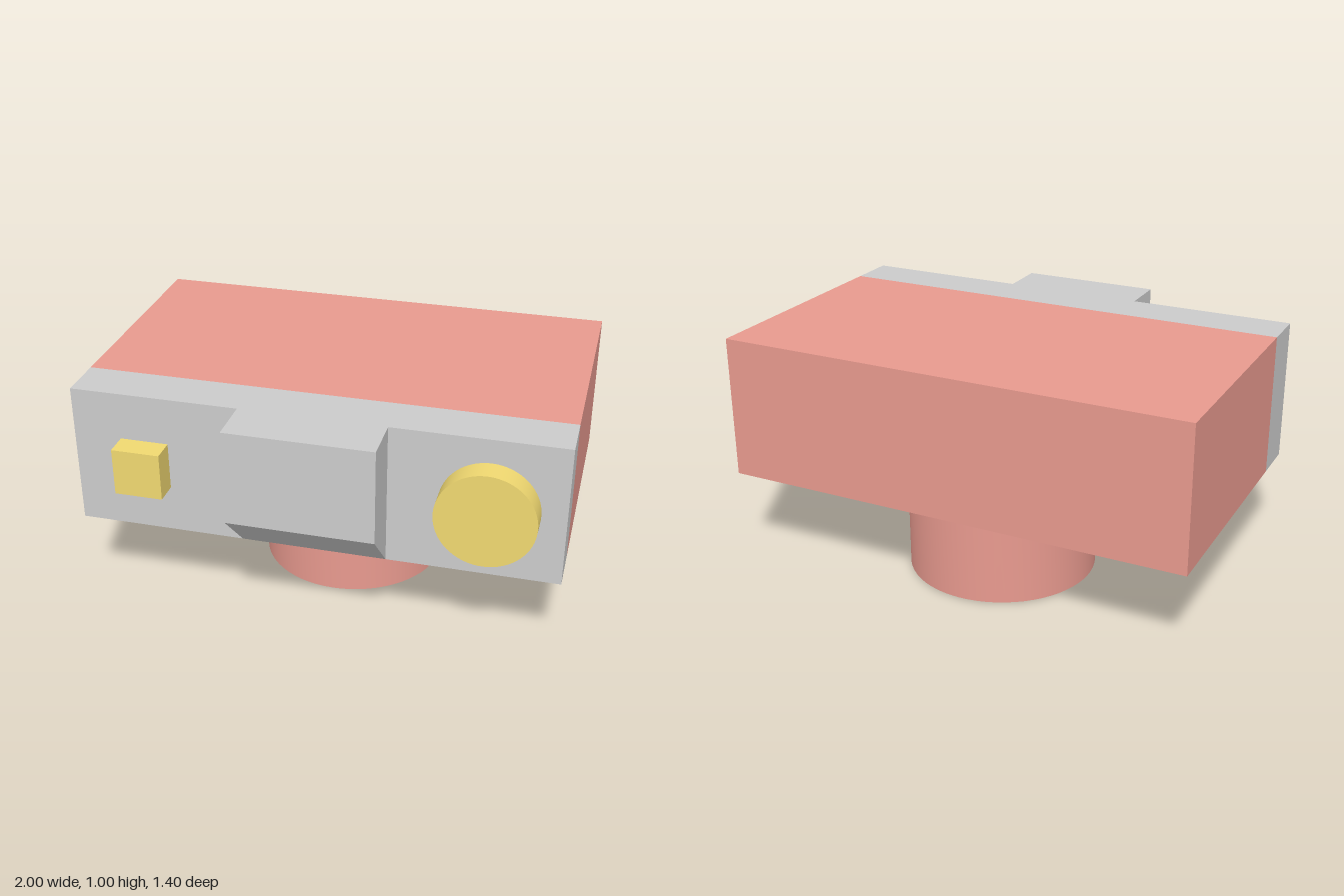
import * as THREE from 'three';
import { toCreasedNormals } from 'three/addons/utils/BufferGeometryUtils.js';

export function createModel() {
  const model = new THREE.Group();
  model.name = 'camera';
  const red = new THREE.MeshStandardMaterial({ color: 0xe89a8f });
  const grey = new THREE.MeshStandardMaterial({ color: 0xcccccc });
  const gold = new THREE.MeshStandardMaterial({ color: 0xf1d971 });

  const add = (name, geometry, material, x = 0, y = 0, z = 0) => {
    const mesh = new THREE.Mesh(geometry, material);
    mesh.name = name;
    mesh.position.set(x, y, z);
    model.add(mesh);
    return mesh;
  };

  // Main body and the grey panel along its front
  add('body', new THREE.BoxGeometry(2, 0.6, 1), red, 0, 0.7, -0.2);
  add('frontPanel', new THREE.BoxGeometry(2, 0.6, 0.2), grey, 0, 0.7, 0.4);

  // Central block with a chamfered underside: profile in (z, y), extruded along x
  const profile = new THREE.Shape([[0.5, 0.4], [0.7, 0.6], [0.7, 1], [0.5, 1]]
    .map(([z, y]) => new THREE.Vector2(z, y)));
  const block = new THREE.ExtrudeGeometry(profile, { depth: 0.6, bevelEnabled: false });
  block.rotateY(-Math.PI / 2);
  add('centreBlock', block, grey, 0.3, 0, 0);

  // Square button and round dial on the front panel
  add('squareButton', new THREE.BoxGeometry(0.2, 0.2, 0.1), gold, -0.7, 0.7, 0.55);
  const dial = new THREE.CylinderGeometry(0.2, 0.2, 0.1, 64);
  dial.rotateX(Math.PI / 2);
  add('roundDial', dial, gold, 0.7, 0.7, 0.55);

  // Hollow lens barrel pointing down, with the lens recessed in its mouth
  const ring = new THREE.Shape().absarc(0, 0, 0.4, 0, Math.PI * 2);
  ring.holes.push(new THREE.Path().absarc(0, 0, 0.3, 0, Math.PI * 2, true));
  const barrel = new THREE.ExtrudeGeometry(ring, { depth: 0.4, bevelEnabled: false, curveSegments: 32 });
  barrel.rotateX(-Math.PI / 2);
  add('lensBarrel', toCreasedNormals(barrel, Math.PI / 6), red, 0, 0, -0.2);
  add('lens', new THREE.CylinderGeometry(0.3, 0.3, 0.3, 64), grey, 0, 0.25, -0.2);

  return model;
}
